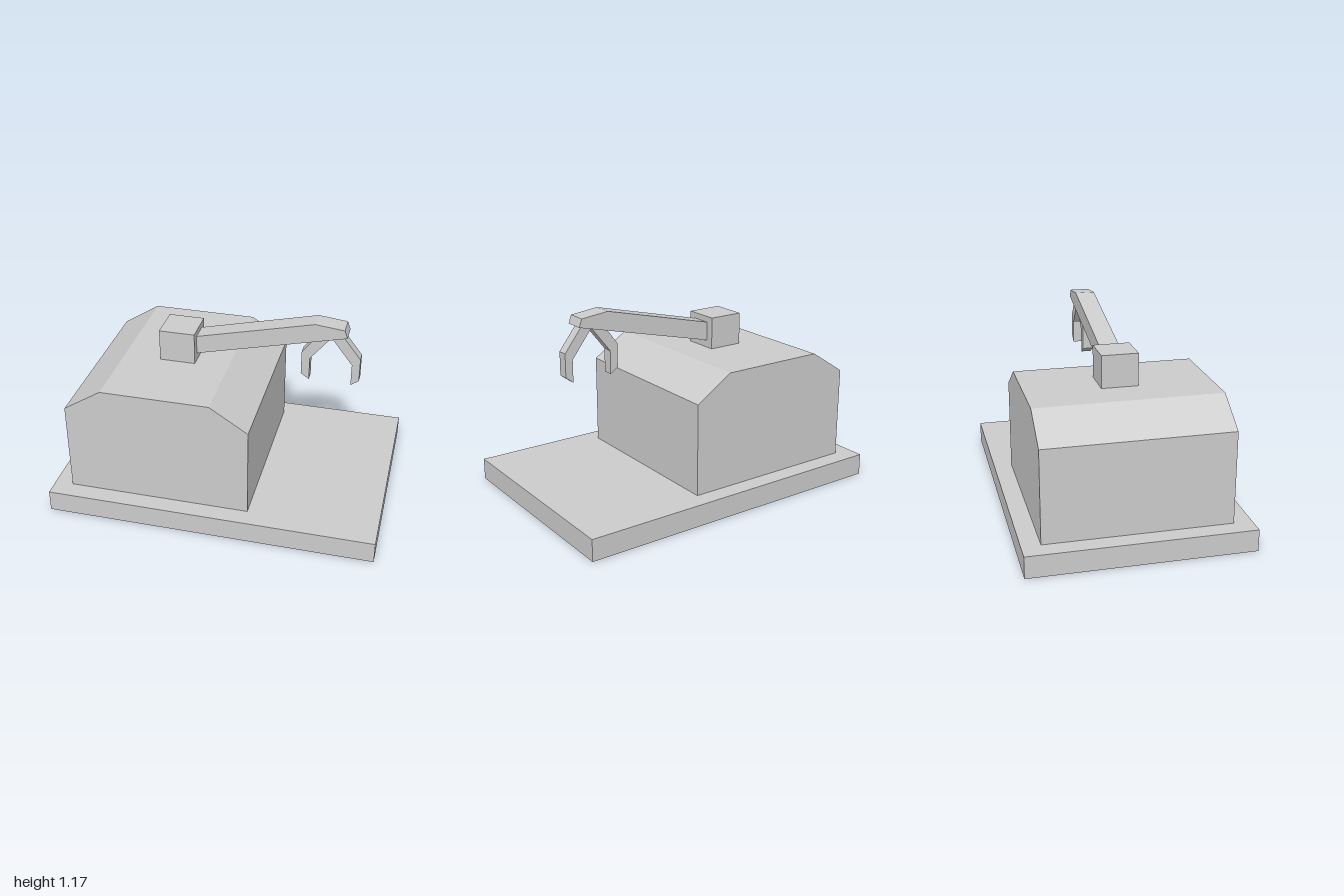
import * as THREE from 'three';

const material = new THREE.MeshStandardMaterial({ color: 0xcccccc, flatShading: true });

// Side profile in x/y, extruded symmetrically about z = 0
function slab(name, points, depth) {
  const shape = new THREE.Shape(points.map(([x, y]) => new THREE.Vector2(x, y)));
  const geometry = new THREE.ExtrudeGeometry(shape, { depth, bevelEnabled: false });
  geometry.translate(0, 0, -depth / 2);
  const mesh = new THREE.Mesh(geometry, material);
  mesh.name = name;
  return mesh;
}

function block(name, [x0, x1], [y0, y1], depth) {
  const mesh = new THREE.Mesh(new THREE.BoxGeometry(x1 - x0, y1 - y0, depth), material);
  mesh.position.set((x0 + x1) / 2, (y0 + y1) / 2, 0);
  mesh.name = name;
  return mesh;
}

export function createModel() {
  const model = new THREE.Group();
  model.name = 'clawArmMachine';

  // Base plate
  model.add(block('basePlate', [-1, 1], [0, 0.133], 1.333));

  // Housing with chamfered top edges
  model.add(slab('housing', [
    [-0.889, 0.133], [0.222, 0.133], [0.222, 0.693],
    [-0.007, 0.84], [-0.66, 0.84], [-0.889, 0.693],
  ], 1.11));

  // Arm mount on the roof
  model.add(block('armMount', [-0.432, -0.214], [0.84, 1.036], 0.22));

  // Rising arm with a bent nose
  model.add(slab('arm', [
    [-0.214, 0.885], [0.69, 1.106], [0.672, 1.155], [0.5, 1.174], [-0.214, 1.0],
  ], 0.12));

  // Two bent claws meeting under the nose
  model.add(slab('innerClaw', [
    [0.595, 1.083], [0.49, 1.057], [0.422, 0.965],
    [0.422, 0.82], [0.472, 0.785], [0.472, 0.928],
  ], 0.064));
  model.add(slab('outerClaw', [
    [0.595, 1.083], [0.723, 0.917], [0.723, 0.78],
    [0.771, 0.816], [0.771, 0.96], [0.663, 1.099],
  ], 0.064));

  return model;
}
